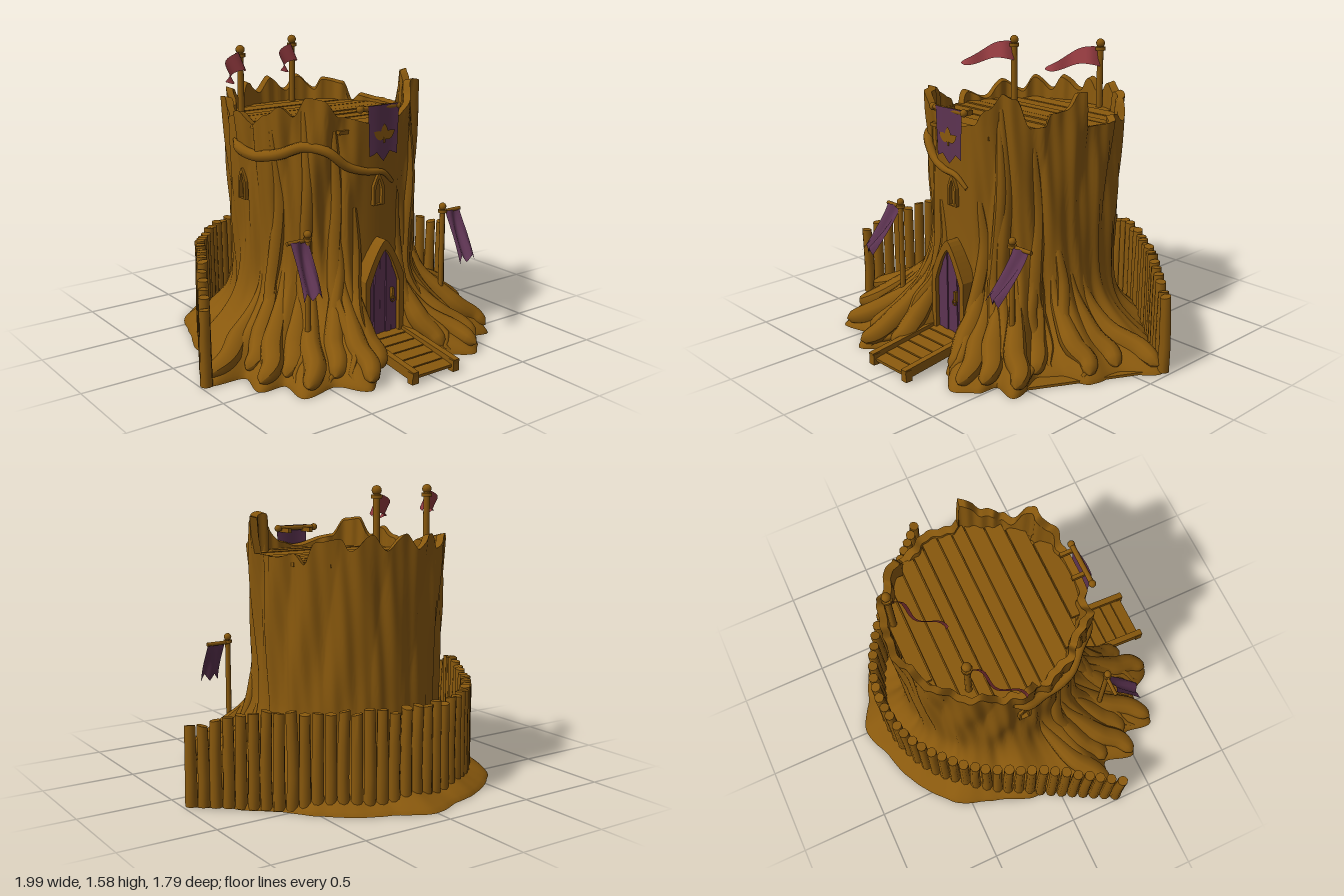
import * as THREE from 'three';
import { toCreasedNormals } from 'three/addons/utils/BufferGeometryUtils.js';

const wood = new THREE.MeshStandardMaterial({ color: 0x88580d, side: THREE.DoubleSide });
const purple = new THREE.MeshStandardMaterial({ color: 0x5c3351, side: THREE.DoubleSide });
const red = new THREE.MeshStandardMaterial({ color: 0x923a3f, side: THREE.DoubleSide });
wood.name = 'wood'; purple.name = 'purple cloth'; red.name = 'red cloth';

const CZ = -0.1; // trunk axis
const D = Math.PI / 180;
let seed = 7;
const rnd = () => (seed = (seed * 16807) % 2147483647) / 2147483647;

// ground outline: degrees from the front, distance from the axis
const BASE = [[0, .54], [11, .57], [15, .8], [24, .96], [31, .93], [36, .84], [42, .95], [51, .76], [60, .76],
  [68, .86], [80, .84], [92, .97], [103, .82], [122, .72], [146, .73], [164, .74], [180, .8], [195, .76], [212, .77],
  [230, .78], [250, .75], [270, .78], [281, .82], [292, 1.04], [299, .88], [307, 1], [313, .9], [320, 1.03],
  [329, .9], [339, .98], [344, .86], [347, .78], [349.5, .57], [360, .54]];
// height of the broken rim
const RIM = [[0, 1.22], [15, 1.25], [25, 1.34], [33, 1.42], [40, 1.4], [48, 1.25], [56, 1.26], [60, 1.32], [68, 1.33], [77, 1.42],
  [80, 1.42], [82, 1.23], [105, 1.23], [115, 1.25], [123, 1.2], [129, 1.31], [143, 1.33], [148, 1.27], [160, 1.35],
  [168, 1.27], [180, 1.35], [188, 1.27], [201, 1.34], [208, 1.26], [220, 1.33], [228, 1.25], [242, 1.31], [255, 1.22],
  [270, 1.27], [280, 1.2], [292, 1.27], [302, 1.32], [309, 1.27], [317, 1.37], [326, 1.36], [335, 1.27], [360, 1.22]];

function lookup(table, deg) {
  const a = ((deg % 360) + 360) % 360;
  const i = Math.max(1, table.findIndex(p => p[0] >= a));
  const [a0, v0] = table[i - 1], [a1, v1] = table[i];
  return v0 + (v1 - v0) * THREE.MathUtils.smoothstep(a, a0, a1);
}

// trunk radius: upright core, spreading roots and bark folds
function trunkRadius(deg, y) {
  const t = deg * D, front = 0.5 + 0.5 * Math.cos(t);
  const core = 0.497 + 0.03 * (y / 1.2) ** 2 - 0.02 * Math.sin(t) ** 2;
  const spread = (0.1 + 0.12 * Math.min(1, front * 1.4)) * (1 + 0.15 * Math.sin(11 * t));
  const flare = Math.exp(-((y / spread) ** 1.5));
  const calm = THREE.MathUtils.smoothstep(1 - Math.cos(t), 0.01, 0.08) * (0.5 + 0.5 * front);
  const bark = 0.026 * (Math.abs(Math.sin(6.5 * t + 0.7 * Math.sin(3 * y))) - 0.5)
    + 0.013 * Math.sin(19 * t + 2 * Math.sin(4 * y + 3 * t)) + 0.006 * Math.sin(41 * t + 5 * y);
  return core + (lookup(BASE, deg) - core) * flare + bark * calm * Math.min(1, y * 6 + 0.3);
}
const polar = (deg, r, y) => new THREE.Vector3(r * Math.sin(deg * D), y, r * Math.cos(deg * D) + CZ);
const onTrunk = (deg, y, out = 0) => polar(deg, trunkRadius(deg, y) + out, y);

function trunkGeometry() {
  const N = 360, M = 38, rows = M + 3, pos = [], idx = [];
  for (let j = 0; j < rows; j++) for (let i = 0; i < N; i++) {
    const deg = i * 360 / N, rim = lookup(RIM, deg);
    let p;
    if (j <= M) p = onTrunk(deg, rim * (j / M) ** 1.4);
    else { // inner side of the rim
      p = onTrunk(deg, rim, j === M + 1 ? -0.04 : -0.05);
      p.y = j === M + 1 ? rim - 0.01 : 1.15;
    }
    pos.push(p.x, p.y, p.z);
  }
  for (let j = 0; j < rows - 1; j++) for (let i = 0; i < N; i++) {
    const k = (i + 1) % N, a = j * N + i, b = j * N + k;
    idx.push(a, b, b + N, a, b + N, a + N);
  }
  pos.push(0, 0, CZ); // underside
  for (let i = 0; i < N; i++) idx.push(rows * N, (i + 1) % N, i);
  const g = new THREE.BufferGeometry();
  g.setAttribute('position', new THREE.Float32BufferAttribute(pos, 3));
  g.setIndex(idx);
  return toCreasedNormals(g, 0.9);
}

// tube whose thickness follows radiusAt(0..1)
function taperedTube(points, radiusAt, n = 28, sides = 9) {
  const path = new THREE.CatmullRomCurve3(points);
  const g = new THREE.TubeGeometry(path, n, 1, sides), p = g.attributes.position, v = new THREE.Vector3();
  for (let i = 0; i < p.count; i++) {
    const u = Math.floor(i / (sides + 1)) / n, c = path.getPointAt(u);
    v.fromBufferAttribute(p, i).sub(c).multiplyScalar(radiusAt(u)).add(c);
    p.setXYZ(i, v.x, Math.max(0.002, v.y), v.z);
  }
  g.computeVertexNormals();
  return g;
}

// cloth sheet: place(u, v) gives a point for u across and v down
function cloth(place, nu = 8, nv = 8) {
  const g = new THREE.PlaneGeometry(1, 1, nu, nv), p = g.attributes.position;
  for (let i = 0; i < p.count; i++) p.setXYZ(i, ...place(p.getX(i) + 0.5, 0.5 - p.getY(i)));
  g.computeVertexNormals();
  return g;
}

const archTop = (x, w, h) => h * (0.6 + 0.4 * (1 - (Math.abs(x) / w) ** 1.4));
function archPath(P, w, h, y0 = 0) {
  const s = new P();
  s.moveTo(-w, y0);
  for (let i = 0; i <= 16; i++) { const x = -w + i * w / 8; s.lineTo(x, archTop(x, w, h)); }
  s.lineTo(w, y0);
  s.closePath();
  return s;
}
function archFrame(w, h, t, depth) {
  const s = archPath(THREE.Shape, w + t, h + t * 1.8);
  s.holes.push(archPath(THREE.Path, w, h, 0.004));
  return new THREE.ExtrudeGeometry(s, { depth, bevelEnabled: false });
}

export function createModel() {
  const model = new THREE.Group();
  const add = (name, geo, mat, x = 0, y = 0, z = 0) => {
    const m = new THREE.Mesh(geo, mat);
    m.name = name;
    m.position.set(x, y, z);
    model.add(m);
    return m;
  };
  const box = (name, w, h, d, x, y, z) => add(name, new THREE.BoxGeometry(w, h, d), wood, x, y, z);
  const pole = (name, x, y0, y1, z, r) => {
    add(name, new THREE.CylinderGeometry(r * 0.9, r, y1 - y0, 10), wood, x, (y0 + y1) / 2, z);
    add(name + 'Knob', new THREE.SphereGeometry(r * 1.3, 10, 8), wood, x, y1, z);
    add(name + 'Collar', new THREE.CylinderGeometry(r * 1.5, r * 1.5, r, 10), wood, x, y1 - r * 1.6, z);
  };

  add('trunk', trunkGeometry(), wood);

  // long bark folds running down the trunk
  const fold = u => 0.003 + 0.034 * Math.sin(Math.PI * Math.min(1, u * 0.93 + 0.06)) ** 0.6;
  for (const [deg, top, drift] of [[20, .85, 3], [27, 1.28, -3], [37, 1.34, 6], [47, .9, -5], [58, 1.15, 8], [68, .6, 3],
    [301, 1.2, 6], [318, 1.3, 3], [328, .7, -6], [336, 1.2, 4], [342, .8, -2]]) {
    const pts = [1, .7, .45, .3, .18, .1, .05, .025].map((k, i) =>
      onTrunk(deg - drift * (1 - i / 7) + 2 * Math.sin(i * 1.7), top * k, -0.012));
    add('barkFold', taperedTube(pts, fold), wood);
  }

  // thick roots with rounded tips
  const swell = u => (0.012 + 0.048 * Math.min(1, u * 1.6)) * Math.sqrt(1.001 - u ** 10);
  for (const [from, to] of [[19, 17], [22, 25], [30, 32], [40, 42.5], [55, 49], [62, 68], [74, 80], [82, 91],
    [284, 291], [296, 299], [302, 307], [314, 313], [318, 321], [333, 329], [336, 339], [342, 345]]) {
    const r = lookup(BASE, to);
    const pts = [.5, .34, .23, .15].map((y, i) => onTrunk(from + (to - from) * i / 4, y, -0.02));
    pts.push(polar(to + 1.5, r * 0.5 + pts[3].setY(.14).clone().sub(new THREE.Vector3(0, .14, CZ)).length() * 0.5, 0.085),
      polar(to, r - 0.01, 0.045));
    add('root', taperedTube(pts, swell, 28, 10), wood);
  }

  // fence of upright logs around the back
  const fence = new THREE.CatmullRomCurve3([[-.97, .29], [-.76, -.1], [-.56, -.45], [-.3, -.68], [0, -.755],
    [.25, -.7], [.55, -.5], [.8, -.28], [.96, -.15]].map(([x, z]) => new THREE.Vector3(x, 0, z)));
  const LOGS = 43;
  for (let i = 0; i < LOGS; i++) {
    const u = i / (LOGS - 1), p = fence.getPointAt(u);
    const h = 0.41 + 0.09 * Math.min(1, u * 9, (1 - u) * 6) + 0.04 * Math.max(0, 1 - Math.abs(u - 0.17) * 9) + 0.03 * (rnd() - 0.5);
    const g = new THREE.CylinderGeometry(0.028, 0.032, h, 9, 3), v = g.attributes.position;
    const bx = (rnd() - 0.5) * 0.012, slant = (rnd() - 0.5) * 0.5;
    for (let k = 0; k < v.count; k++) {
      const t = v.getY(k) / h + 0.5;
      v.setX(k, v.getX(k) + bx * Math.sin(t * 4));
      if (t > 0.99) v.setY(k, v.getY(k) + v.getX(k) * slant);
    }
    add('fenceLog', toCreasedNormals(g, 0.8), wood, p.x, h / 2 + 0.005, p.z).rotation.y = rnd() * 6;
  }

  // flat ground under the fence
  const ground = new THREE.Shape([...fence.getPoints(30), ...[[.6, .54], [.3, .25], [-.3, .25]].map(([x, z]) => new THREE.Vector3(x, 0, z))]
    .map(p => new THREE.Vector2(p.x, -p.z)));
  add('ground', new THREE.ExtrudeGeometry(ground, { depth: 0.014, bevelEnabled: false }), wood).rotation.x = -Math.PI / 2;

  // plank deck reaching into the rim
  add('deckBase', new THREE.CylinderGeometry(0.47, 0.47, 0.02, 48), wood, 0, 1.165, CZ);
  for (let z = -0.48; z < 0.47;) {
    const w = Math.min(0.06 + rnd() * 0.05, 0.49 - z), m = z + w / 2;
    const len = 2 * Math.sqrt(0.49 ** 2 - Math.min(0.46, Math.abs(m)) ** 2);
    box('deckPlank', len, 0.02, w - 0.007, 0, 1.19 + rnd() * 0.008, CZ + m).rotation.x = (rnd() - 0.5) * 0.12;
    z += w;
  }

  // roof poles with waving, slightly leaning pennants
  for (const [x, z, top] of [[-.35, -.345, 1.55], [.125, -.55, 1.56]]) {
    pole('flagPole', x, 1.15, top, z, 0.019);
    add('pennant', cloth((u, v) => {
      const tall = 0.1 * (1 - u) ** 0.55 + 0.004, wave = 0.02 * Math.sin(u * 9), lean = 0.03 * (v - 0.5) * (1 - u * 0.5);
      const mid = 1.485 - 0.065 * u * u + 0.014 * Math.sin(u * 6);
      return [x - 0.22 * u + wave * 0.7 + lean, mid + (0.5 - v) * tall, z + 0.21 * u + wave + lean];
    }, 16, 3), red);
  }

  // front banner with a leaf
  const fork = u => Math.abs(((u * 2) % 1) - 0.5) * 2;
  const rod = add('bannerRod', new THREE.CylinderGeometry(0.014, 0.014, 0.25, 10), wood, -0.02, 1.31, 0.435);
  rod.rotation.z = Math.PI / 2;
  for (const x of [-0.14, 0.1]) add('rodKnob', new THREE.SphereGeometry(0.02, 10, 8), wood, x, 1.31, 0.435);
  for (const x of [-0.07, 0.07]) box('rodBracket', 0.02, 0.025, 0.09, x, 1.3, 0.4);
  add('banner', cloth((u, v) => [(u - 0.5) * (0.2 - 0.02 * v), 1.325 - v * (0.22 + 0.04 * fork(u) + 0.03 * Math.sin(u * Math.PI)),
    0.45 + 0.004 * Math.sin(u * 6)], 8, 6), purple);
  const leaf = new THREE.Shape();
  leaf.moveTo(0, 0);
  leaf.quadraticCurveTo(0.044, 0.03, 0, 0.078);
  leaf.quadraticCurveTo(-0.044, 0.03, 0, 0);
  for (const a of [-1.05, 0, 1.05])
    add('leaf', new THREE.ShapeGeometry(leaf), wood, 0, 1.152, 0.457).rotation.z = a;
  box('leafStem', 0.01, 0.03, 0.003, 0, 1.145, 0.457);

  // standing banners either side of the door
  for (const [px, x0] of [[-.455, -.56], [.44, .455]]) {
    pole('bannerPole', px, 0.04, 0.72, 0.425, 0.016);
    add('crossbar', new THREE.CylinderGeometry(0.011, 0.011, 0.13, 8), wood, x0 + 0.05, 0.69, 0.42).rotation.z = Math.PI / 2;
    add('sideBanner', cloth((u, v) => [x0 + 0.105 * u - 0.035 * v * v, 0.695 - v * (0.215 + 0.04 * fork(u)),
      0.43 + 0.165 * v ** 1.3 + 0.012 * Math.sin(u * 6 + v * 3)], 8, 8), purple);
    add('poleFoot', new THREE.CylinderGeometry(0.085, 0.105, 0.12, 7), wood, px + 0.02, 0.062, 0.44);
  }

  // climbing branch
  const branch = [[262, 1.11], [272, 1.07], [282, 1.05], [292, 1.06], [302, 1.08], [315, 1.12], [328, 1.1], [339, 1.02], [351, .985], [362, .97], [370, .91]]
    .map(([a, y]) => onTrunk(a, y, 0.008));
  add('branch', taperedTube(branch, u => (0.03 - 0.02 * u ** 3) * Math.min(1, 0.2 + u * 12), 50), wood);

  // door, frame and small windows
  const W = 0.097, H = 0.47;
  for (let i = 0; i < 5; i++) {
    const a = -W + i * 2 * W / 5 + 0.002, b = a + 2 * W / 5 - 0.004, s = new THREE.Shape();
    s.moveTo(a, 0);
    s.lineTo(b, 0);
    for (let k = 0; k <= 4; k++) { const x = b + (a - b) * k / 4; s.lineTo(x, archTop(x, W, H)); }
    add('doorPlank', new THREE.ExtrudeGeometry(s, { depth: 0.03, bevelEnabled: false }), purple, 0, 0.1, 0.428 + 0.004 * (i % 2));
  }
  add('doorFrame', archFrame(W, H, 0.03, 0.12), wood, 0, 0.1, 0.36);
  box('doorHandle', 0.014, 0.06, 0.02, 0.055, 0.32, 0.47);
  add('doorRing', new THREE.TorusGeometry(0.014, 0.004, 6, 12), wood, 0.055, 0.29, 0.478);
  for (const a of [359, 270]) {
    const p = onTrunk(a, 0.85, -0.03);
    add('windowFrame', archFrame(0.02, 0.14, 0.014, 0.05), wood, p.x, 0.8, p.z).rotation.y = a * D;
  }

  // entrance steps
  const slope = Math.atan2(0.06, 0.46);
  for (const x of [-0.135, 0.135]) {
    box('stepRail', 0.035, 0.05, 0.47, x, 0.075, 0.655).rotation.x = slope;
    box('railPost', 0.045, 0.13, 0.04, x, 0.065, 0.46);
    box('railFoot', 0.04, 0.06, 0.04, x, 0.035, 0.868);
  }
  for (let i = 0; i < 6; i++)
    box('stepPlank', 0.25, 0.016, 0.068, 0, 0.098 - i * 0.012, 0.475 + i * 0.073).rotation.x = slope;

  return model;
}
